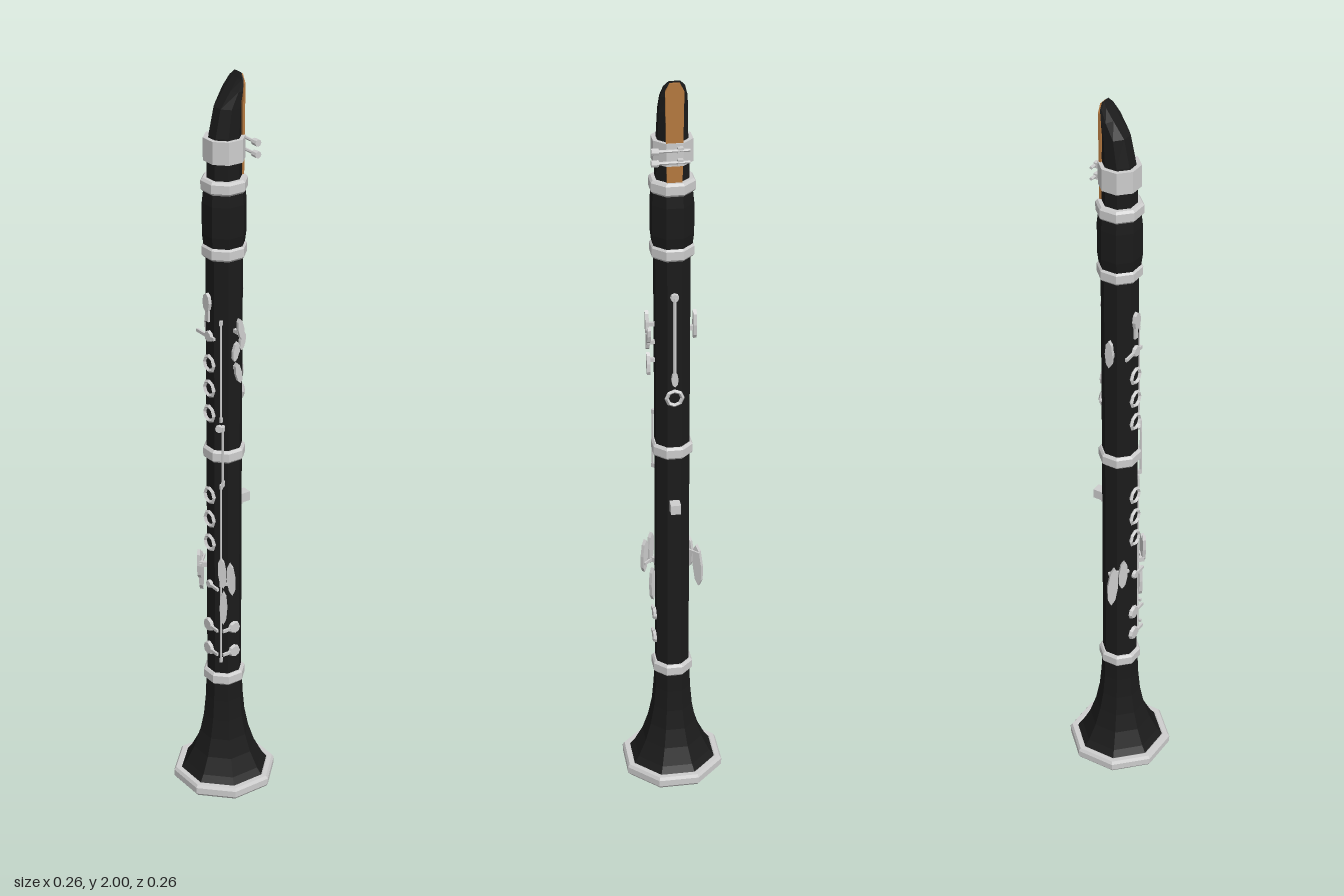
import * as THREE from 'three';

const mat = (name, color) => Object.assign(new THREE.MeshStandardMaterial({ color }), { name });
const C = Math.cos(Math.PI / 8);

export function createModel() {
  const black = mat('black wood', 0x1b1b1b);
  const silver = mat('silver', 0xcdcdcd);
  const cane = mat('cane', 0xb5793f);
  const root = new THREE.Group();
  root.name = 'clarinet';

  // Faceted mesh: every face keeps its own normal
  function add(parent, name, geo, material, x = 0, y = 0, z = 0) {
    const g = geo.index ? geo.toNonIndexed() : geo;
    g.computeVertexNormals();
    const m = new THREE.Mesh(g, material);
    m.name = name;
    m.position.set(x, y, z);
    parent.add(m);
    return m;
  }

  // Eight-sided turned part from [distance to flat, height] points
  function turned(name, pts, material) {
    const profile = pts.map(([r, y]) => new THREE.Vector2(r / C, y));
    return add(root, name, new THREE.LatheGeometry(profile, 8, Math.PI / 8), material);
  }

  // Tube joints
  turned('lowerJoint', [[0.043, 0.32], [0.043, 1.0]], black);
  turned('upperJoint', [[0.043, 1.0], [0.044, 1.55]], black);
  turned('barrel', [[0.046, 1.55], [0.052, 1.6], [0.052, 1.68], [0.047, 1.73]], black);

  // Hollow flared bell and its rim
  const flare = [[0.115, 0.025], [0.098, 0.05], [0.077, 0.095], [0.062, 0.145], [0.052, 0.2], [0.047, 0.26], [0.045, 0.33]];
  const inner = flare.map(([r, y]) => [r - 0.008, y]).reverse();
  turned('bell', [[0, 0.33], ...inner, ...flare], black);
  turned('bellRim', [[0.107, 0.03], [0.112, 0], [0.124, 0], [0.13, 0.008], [0.13, 0.026], [0.125, 0.034], [0.113, 0.034], [0.107, 0.03]], silver);

  // Metal joint rings with bevelled edges
  for (const [y, r] of [[0.33, 0.052], [1.0, 0.051], [1.555, 0.053], [1.727, 0.055]]) {
    turned('jointRing', [[0.036, y - 0.017], [r - 0.005, y - 0.017], [r, y - 0.011], [r, y + 0.011], [r - 0.005, y + 0.017], [0.036, y + 0.017]], silver);
  }

  // Mouthpiece: octagon sections squeezed towards the reed side
  const sections = [ // y, half width, front z, back z
    [1.73, 0.041, 0.041, -0.041], [1.79, 0.04, 0.04, -0.041], [1.85, 0.037, 0.036, -0.041],
    [1.92, 0.035, 0.021, -0.041], [1.96, 0.033, -0.009, -0.041], [1.987, 0.026, -0.031, -0.041], [2.0, 0.014, -0.039, -0.041],
  ];
  const pos = [], idx = [];
  sections.forEach(([y, w, f, b]) => {
    for (let i = 0; i < 8; i++) {
      const a = (i + 0.5) * Math.PI / 4;
      pos.push(w * Math.sin(a) / C, y, (f + b) / 2 + (f - b) / 2 * Math.cos(a) / C);
    }
  });
  for (let s = 0; s < sections.length - 1; s++) {
    for (let i = 0; i < 8; i++) {
      const a = s * 8 + i, b = s * 8 + (i + 1) % 8;
      idx.push(a, b, b + 8, a, b + 8, a + 8);
    }
  }
  const top = (sections.length - 1) * 8;
  for (let i = 1; i < 7; i++) idx.push(top, top + i, top + i + 1);
  const mouth = new THREE.BufferGeometry();
  mouth.setAttribute('position', new THREE.Float32BufferAttribute(pos, 3));
  mouth.setIndex(idx);
  add(root, 'mouthpiece', mouth, black);

  // Reed with a rounded tip
  const reed = new THREE.Shape();
  reed.moveTo(-0.019, 1.745);
  reed.lineTo(0.019, 1.745);
  reed.lineTo(0.023, 1.975);
  reed.lineTo(0.012, 1.996);
  reed.lineTo(-0.012, 1.996);
  reed.lineTo(-0.023, 1.975);
  add(root, 'reed', new THREE.ExtrudeGeometry(reed, { depth: 0.006, bevelEnabled: false }), cane, 0, 0, -0.046);

  // Ligature band and its two screws
  turned('ligature', [[0.038, 1.788], [0.049, 1.788], [0.049, 1.846], [0.038, 1.846]], silver);
  for (const y of [1.802, 1.832]) {
    const screw = add(root, 'ligatureScrew', new THREE.CylinderGeometry(0.004, 0.004, 0.08, 6), silver, 0.005, y, -0.059);
    screw.rotation.z = Math.PI / 2;
    const head = add(root, 'screwHead', new THREE.CylinderGeometry(0.009, 0.009, 0.018, 8), silver, 0.05, y, -0.059);
    head.rotation.z = Math.PI / 2;
    add(root, 'screwLug', new THREE.BoxGeometry(0.014, 0.014, 0.016), silver, -0.012, y, -0.054);
  }

  // One key group per flat side; local z points outwards
  function side(name, eighths) {
    const g = new THREE.Group();
    g.name = name;
    g.rotation.y = eighths * Math.PI / 4;
    root.add(g);
    return g;
  }
  const front = side('frontKeys', 0), left = side('leftKeys', 2), right = side('rightKeys', -2);
  const back = side('backKeys', 4), frontLeft = side('frontLeftKeys', 1), frontRight = side('frontRightKeys', -1);

  function ring(p, y) {
    add(p, 'holeRing', new THREE.TorusGeometry(0.02, 0.0055, 4, 8), silver, 0, y, 0.046);
    add(p, 'toneHole', new THREE.CircleGeometry(0.017, 8), black, 0, y, 0.0445);
  }
  function pad(p, u, y, r = 0.018, out = 0.047) {
    add(p, 'pad', new THREE.CylinderGeometry(r * 0.85, r, 0.009, 8), silver, u, y, out).rotation.x = Math.PI / 2;
  }
  function rod(p, u, y0, y1, out = 0.049, r = 0.003) {
    add(p, 'rod', new THREE.CylinderGeometry(r, r, y1 - y0, 6), silver, u, (y0 + y1) / 2, out);
    for (const y of [y0 + 0.006, y1 - 0.006]) add(p, 'post', new THREE.BoxGeometry(0.008, 0.012, out - 0.038), silver, u, y, (out + 0.042) / 2);
  }
  function arm(p, u0, u1, y, out = 0.048) {
    add(p, 'keyArm', new THREE.BoxGeometry(Math.abs(u1 - u0), 0.008, 0.006), silver, (u0 + u1) / 2, y, out);
  }
  function spatula(p, u, y, w, h, out, tilt = 0) {
    const geo = new THREE.CylinderGeometry(1, 1, 0.009, 8).rotateX(Math.PI / 2).scale(w, h, 1);
    add(p, 'spatula', geo, silver, u, y, out).rotation.z = tilt;
  }

  // Front: ring keys, throat key and pads
  for (const y of [1.255, 1.185, 1.115, 0.88, 0.81, 0.74]) ring(front, y);
  spatula(front, -0.003, 1.422, 0.014, 0.025, 0.05);
  add(front, 'keyArm', new THREE.BoxGeometry(0.012, 0.05, 0.006), silver, -0.003, 1.395, 0.048);
  pad(front, 0, 1.33, 0.016);
  arm(front, -0.05, 0.025, 1.33);
  pad(front, 0, 0.615, 0.012);
  arm(front, 0, 0.04, 0.615);
  for (const y of [0.488, 0.415]) {
    pad(front, -0.005, y, 0.02);
    arm(front, 0, 0.038, y);
    pad(left, 0, y, 0.018);
    arm(left, -0.038, 0, y);
  }

  // Long rods between front and side
  rod(frontLeft, 0, 1.1, 1.38);
  rod(frontLeft, 0.006, 0.92, 1.09, 0.057);
  rod(frontLeft, 0, 0.385, 0.92);
  pad(frontLeft, -0.005, 1.08, 0.011);

  // Trill keys on one side, a single lever on the other
  spatula(left, 0.004, 1.36, 0.009, 0.03, 0.064, 0.15);
  spatula(left, -0.008, 1.30, 0.009, 0.026, 0.06, -0.2);
  spatula(left, 0.012, 1.325, 0.008, 0.024, 0.06, -0.2);
  spatula(left, 0.0, 1.24, 0.009, 0.03, 0.06, 0.2);
  for (const y of [1.35, 1.3, 1.25]) add(left, 'post', new THREE.BoxGeometry(0.008, 0.01, 0.022), silver, 0, y, 0.051);
  spatula(right, 0.006, 1.34, 0.011, 0.04, 0.059);
  add(right, 'post', new THREE.BoxGeometry(0.01, 0.012, 0.02), silver, 0.006, 1.33, 0.05);

  // Little-finger key clusters
  spatula(frontRight, -0.036, 0.615, 0.014, 0.062, 0.068, -0.08);
  spatula(frontRight, -0.008, 0.65, 0.012, 0.045, 0.068, -0.08);
  arm(frontRight, -0.046, 0.01, 0.655, 0.062);
  add(frontRight, 'post', new THREE.BoxGeometry(0.01, 0.014, 0.028), silver, 0, 0.655, 0.053);
  spatula(frontLeft, 0.03, 0.655, 0.011, 0.048, 0.068, 0.08);
  spatula(frontLeft, 0.006, 0.67, 0.011, 0.045, 0.066, 0.08);
  spatula(frontLeft, 0.008, 0.56, 0.01, 0.05, 0.058);
  arm(frontLeft, 0, 0.038, 0.635, 0.062);
  add(frontLeft, 'post', new THREE.BoxGeometry(0.01, 0.014, 0.028), silver, 0.004, 0.635, 0.053);

  // Back: register key, thumb hole and thumb rest
  rod(back, 0, 1.2, 1.44, 0.05, 0.0045);
  pad(back, 0, 1.44, 0.012);
  spatula(back, 0, 1.215, 0.009, 0.02, 0.05);
  ring(back, 1.16);
  add(back, 'thumbRest', new THREE.BoxGeometry(0.026, 0.03, 0.008), silver, 0, 0.845, 0.046);
  add(back, 'thumbRest', new THREE.BoxGeometry(0.026, 0.026, 0.026), silver, 0, 0.847, 0.06);

  return root;
}
